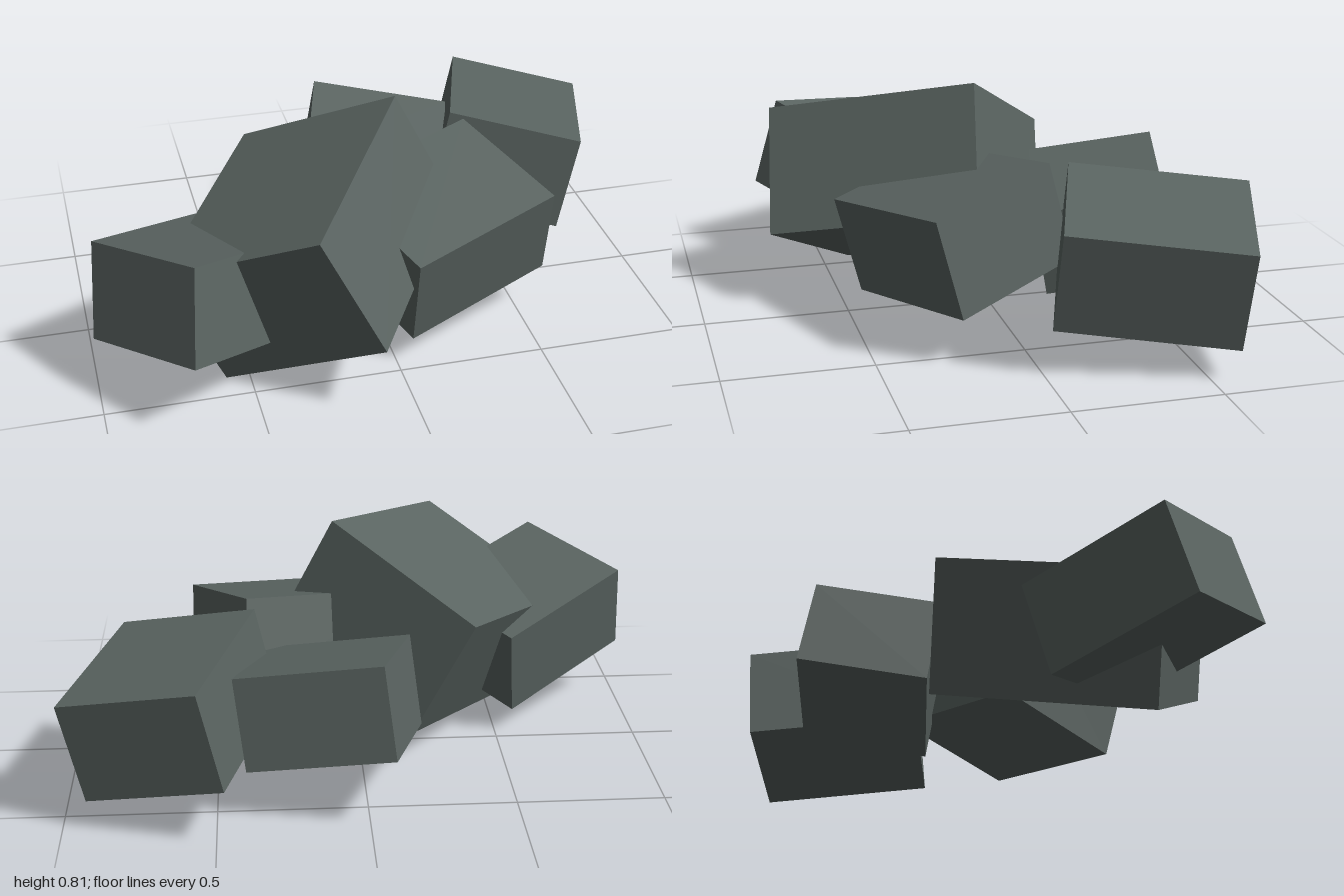
import * as THREE from 'three';

const stone = new THREE.MeshStandardMaterial({ color: 0x5a6461, flatShading: true });
stone.name = 'greenish grey stone';

// Tilted block: one corner and the three edges that leave it
function block(name, corner, edgeA, edgeB, edgeC) {
  const [p, a, b, c] = [corner, edgeA, edgeB, edgeC].map(v => new THREE.Vector3(...v));
  const mesh = new THREE.Mesh(
    new THREE.BoxGeometry(a.length(), b.length(), c.length()), stone);
  mesh.name = name;

  // Square, right-handed axes along the edges
  const x = a.clone().normalize();
  const z = a.clone().cross(b).normalize();
  const y = z.clone().cross(x);
  mesh.quaternion.setFromRotationMatrix(new THREE.Matrix4().makeBasis(x, y, z));
  mesh.position.copy(p).addScaledVector(a, 0.5).addScaledVector(b, 0.5).addScaledVector(c, 0.5);
  return mesh;
}

export function createModel() {
  const group = new THREE.Group();
  group.name = 'rockPile';
  group.add(
    // Largest slab, leaning in the middle
    block('largeRock', [0.09, 0.82, 0.067],
      [-0.408, -0.144, 0.645], [-0.462, -0.265, -0.351], [0.2, -0.406, 0.035]),
    // Outer rock on the -x side
    block('rightRock', [-0.976, 0.532, 0.28],
      [0.281, 0.074, 0.357], [0.441, -0.125, -0.321], [-0.026, -0.316, 0.088]),
    // Front rock
    block('frontRock', [0.05, 0.434, 0.546],
      [0.538, 0.067, -0.231], [-0.197, 0.107, -0.427], [0.001, -0.334, -0.084]),
    // Rock behind the slab
    block('backRock', [-0.04, 0.568, -0.618],
      [0.481, -0.085, 0.123], [-0.123, -0.068, 0.417], [-0.037, -0.305, -0.064]),
    // Outer rock on the +x side
    block('leftRock', [0.543, 0.546, -0.753],
      [0.449, -0.098, 0.155], [-0.18, 0.053, 0.567], [-0.073, -0.34, 0.01]),
  );
  return group;
}
